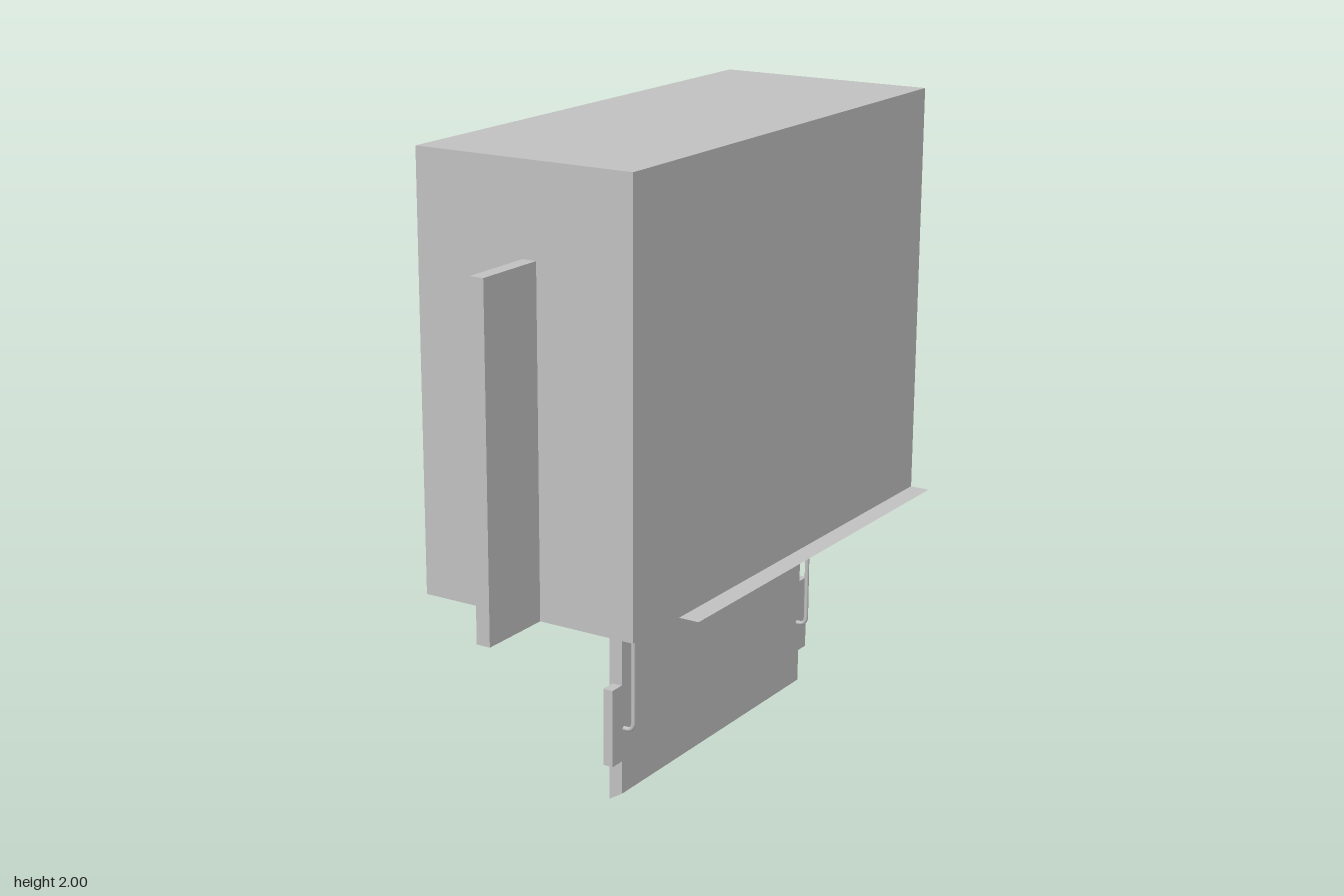
import * as THREE from 'three';

export function createModel() {
  const model = new THREE.Group();
  const grey = new THREE.MeshStandardMaterial({ color: 0xc0c0c0, side: THREE.DoubleSide });
  grey.name = 'plain grey';

  const add = (name, geometry) => {
    const mesh = new THREE.Mesh(geometry, grey);
    mesh.name = name;
    model.add(mesh);
    return mesh;
  };
  // Box given by its limits on each axis
  const block = (name, [x0, x1], [y0, y1], [z0, z1]) =>
    add(name, new THREE.BoxGeometry(x1 - x0, y1 - y0, z1 - z0))
      .position.set((x0 + x1) / 2, (y0 + y1) / 2, (z0 + z1) / 2);

  const base = 0.71;

  // Main housing with a fin on the front and one on the right side
  block('housing', [-0.23, 0.472], [base, 2], [-0.94, 0.705]);
  block('frontFin', [0.121, 0.165], [base, 1.73], [0.705, 0.94]);
  block('sideFin', [-0.535, -0.23], [base, 1.73], [-0.31, -0.17]);

  // Paper-thin flange under the housing
  const flange = add('flange', new THREE.PlaneGeometry(0.825, 1.41).rotateX(-Math.PI / 2));
  flange.position.set(0.1225, base - 0.0005, -0.235);

  // Hanging panel with a bevelled lower edge
  const zBack = -0.765, zFront = 0.295;
  const profile = new THREE.Shape([
    new THREE.Vector2(0.121, 0), new THREE.Vector2(0.165, 0.027),
    new THREE.Vector2(0.165, base), new THREE.Vector2(0.121, base),
  ]);
  add('panel', new THREE.ExtrudeGeometry(profile, { depth: zFront - zBack, bevelEnabled: false }))
    .position.z = zBack;

  // Tabs on both ends of the panel, and a wire handle near each end
  for (const [end, out, wireZ] of [[zFront, 0.345, 0.284], [zBack, -0.812, -0.752]]) {
    const span = [Math.min(end, out), Math.max(end, out)];
    block('upperTab', [0.133, 0.165], [0.592, base], span);
    block('lowerTab', [0.133, 0.165], [0.132, 0.375], span);

    const p = (x, y) => new THREE.Vector3(x, y, wireZ);
    const path = new THREE.CurvePath();
    path.add(new THREE.LineCurve3(p(0.16, 0.689), p(0.173, 0.689)));
    path.add(new THREE.QuadraticBezierCurve3(p(0.173, 0.689), p(0.199, 0.689), p(0.199, 0.663)));
    path.add(new THREE.LineCurve3(p(0.199, 0.663), p(0.199, 0.261)));
    path.add(new THREE.QuadraticBezierCurve3(p(0.199, 0.261), p(0.199, 0.235), p(0.173, 0.235)));
    path.add(new THREE.LineCurve3(p(0.173, 0.235), p(0.16, 0.235)));
    add('wireHandle', new THREE.TubeGeometry(path, 90, 0.007, 12, false));
  }

  return model;
}
